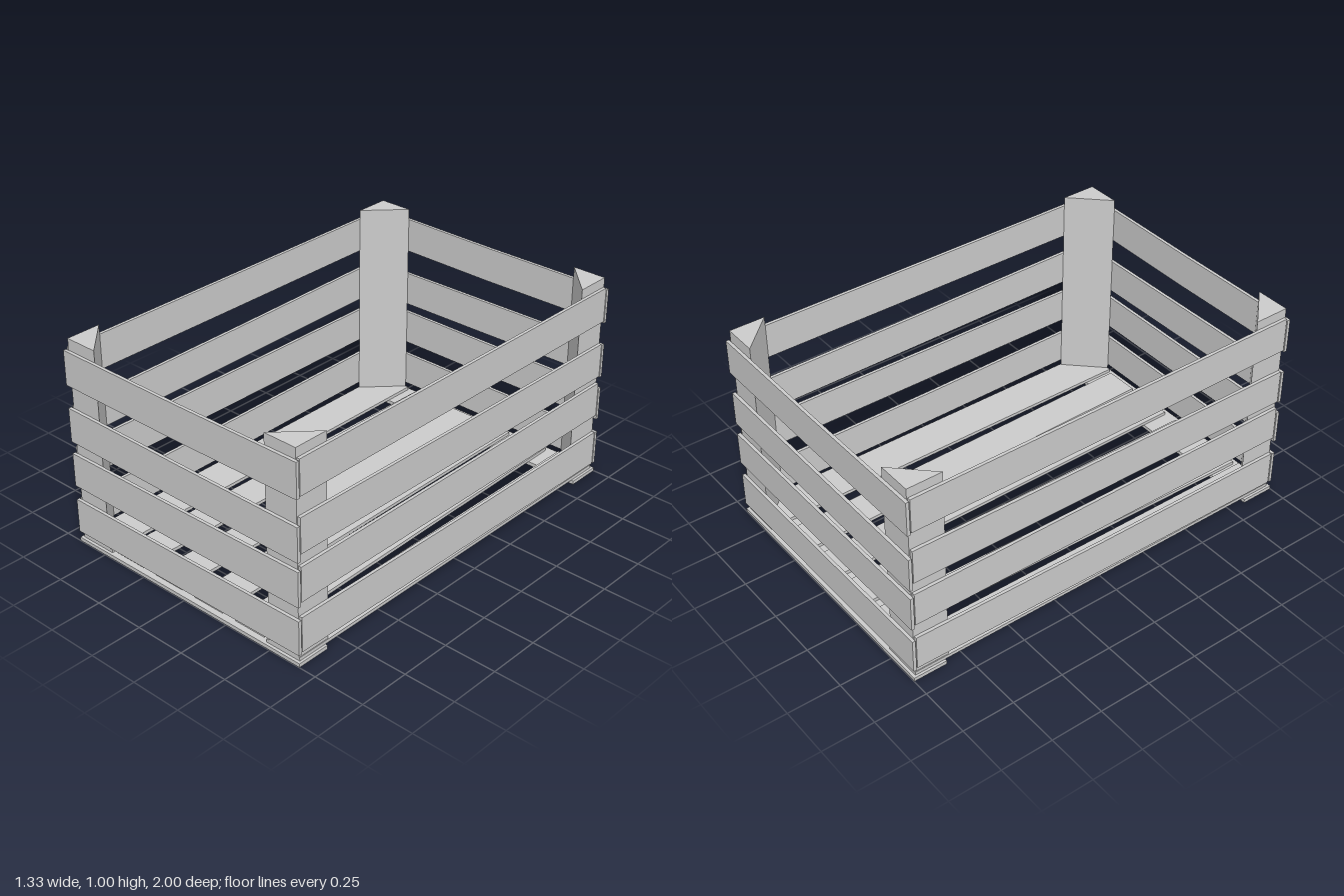
import * as THREE from 'three';

const X = new THREE.Vector3(1, 0, 0), Y = new THREE.Vector3(0, 1, 0), Z = new THREE.Vector3(0, 0, 1);
const THICK = 0.015;

export function createModel() {
  const crate = new THREE.Group();
  crate.name = 'slattedCrate';
  const wood = new THREE.MeshStandardMaterial({ color: 0xcccccc, flatShading: true });

  function add(name, geometry, x = 0, y = 0, z = 0) {
    const mesh = new THREE.Mesh(geometry, wood);
    mesh.name = name;
    mesh.position.set(x, y, z);
    crate.add(mesh);
    return mesh;
  }

  // Slightly warped board: edges holds [low, high] at its start, middle and end;
  // the basis says where its length, width and thickness point.
  function board(length, thick, edges, along, across, out) {
    const g = new THREE.BoxGeometry(length, 1, thick, 2, 1, 1);
    const p = g.attributes.position;
    for (let i = 0; i < p.count; i++) {
      const [low, high] = edges[Math.round(p.getX(i) / length * 2) + 1];
      p.setY(i, p.getY(i) < 0 ? low : high);
    }
    g.applyMatrix4(new THREE.Matrix4().makeBasis(along, across, out));
    g.computeVertexNormals();
    return g;
  }

  // Front and back wall slats
  const endSlats = [
    [[0.05, 0.215], [0.053, 0.217], [0.057, 0.222]],
    [[0.285, 0.447], [0.283, 0.45], [0.288, 0.456]],
    [[0.506, 0.67], [0.5, 0.665], [0.497, 0.661]],
    [[0.78, 0.945], [0.777, 0.943], [0.784, 0.949]],
  ];
  for (const edges of endSlats) {
    const g = board(1.33, THICK, edges, X, Y, Z);
    add('frontSlat', g, 0, 0, 0.9925);
    add('backSlat', g, 0, 0, -0.9925).rotation.y = Math.PI;
  }

  // Side wall slats, fitted between the front and back ones
  const sideSlats = [
    [[0.065, 0.232], [0.055, 0.219], [0.049, 0.216]],
    [[0.305, 0.47], [0.306, 0.472], [0.308, 0.476]],
    [[0.53, 0.696], [0.52, 0.683], [0.511, 0.676]],
    [[0.79, 0.955], [0.789, 0.954], [0.79, 0.955]],
  ];
  for (const edges of sideSlats) {
    const g = board(1.96, THICK, edges, Z.clone().negate(), Y, X);
    add('leftSlat', g, 0.6565, 0, 0);
    add('rightSlat', g, -0.6565, 0, 0).rotation.y = Math.PI;
  }

  // Triangular corner posts
  for (const sx of [-1, 1]) {
    for (const sz of [-1, 1]) {
      const shape = new THREE.Shape([
        new THREE.Vector2(0.649 * sx, -0.985 * sz),
        new THREE.Vector2(0.484 * sx, -0.985 * sz),
        new THREE.Vector2(0.649 * sx, -0.816 * sz),
      ]);
      const g = new THREE.ExtrudeGeometry(shape, { depth: 0.966, bevelEnabled: false });
      g.rotateX(-Math.PI / 2);
      add('cornerPost', g, 0, 0.034, 0);
    }
  }

  // Cross boards under the floor
  for (const s of [-1, 1]) {
    add('bottomCrossBoard', new THREE.BoxGeometry(1.33, 0.018, 0.163), 0, 0.009, 0.9175 * s);
  }

  // Floor slats: [low, high] in x at the back, middle and front
  const floorSlats = [
    [[-0.41, -0.245], [-0.428, -0.262], [-0.445, -0.28]],
    [[-0.195, -0.03], [-0.2, -0.035], [-0.208, -0.042]],
    [[0.02, 0.187], [0.028, 0.194], [0.034, 0.202]],
    [[0.24, 0.405], [0.258, 0.423], [0.275, 0.441]],
  ];
  for (const edges of floorSlats) {
    add('floorSlat', board(1.94, 0.016, edges, Z, X, Y), 0, 0.026, 0);
  }
  for (const s of [-1, 1]) {
    add('floorEdgeSlat', new THREE.BoxGeometry(0.185, 0.016, 1.97), 0.5605 * s, 0.026, 0);
  }

  return crate;
}
